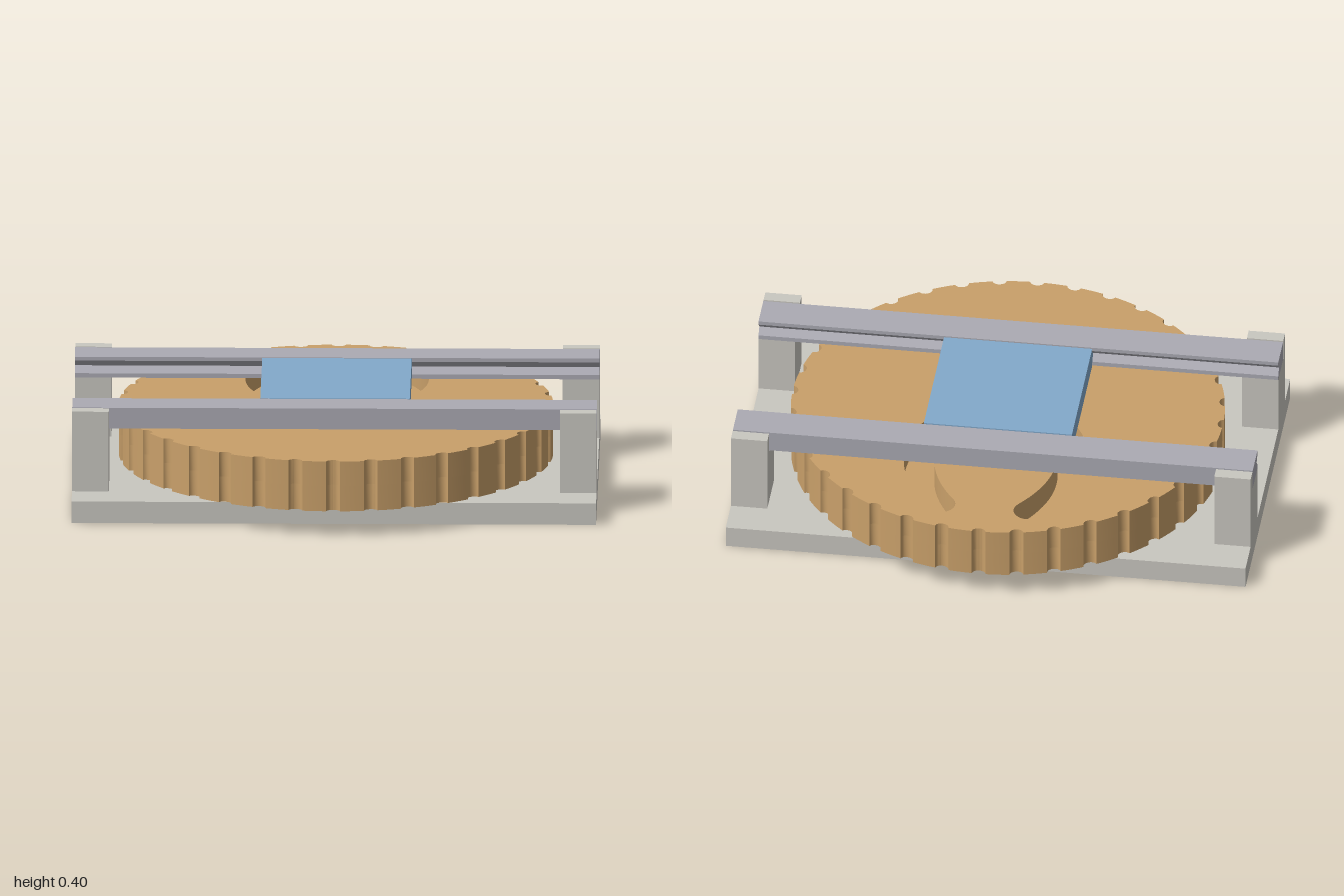
import * as THREE from 'three';
import { toCreasedNormals } from 'three/addons/utils/BufferGeometryUtils.js';

const mat = (name, color) => new THREE.MeshStandardMaterial({ name, color });

export function createModel() {
  const model = new THREE.Group();
  model.name = 'camSlideMechanism';
  const stone = mat('warmGrey', 0xc9c7c0);
  const wood = mat('tan', 0xc9a06a);
  const steel = mat('coolGrey', 0xabaab3);
  const blue = mat('blue', 0x82a9cb);

  const add = (name, geometry, material, x = 0, y = 0, z = 0) => {
    const mesh = new THREE.Mesh(geometry, material);
    mesh.name = name;
    mesh.position.set(x, y, z);
    model.add(mesh);
    return mesh;
  };
  const box = (name, material, x0, x1, y0, y1, z0, z1) =>
    add(name, new THREE.BoxGeometry(x1 - x0, y1 - y0, z1 - z0), material,
      (x0 + x1) / 2, (y0 + y1) / 2, (z0 + z1) / 2);
  // Extrudes a (z, y) cross-section along x, centred on x = 0
  const alongX = (points, length) => {
    const shape = new THREE.Shape(points.map(([z, y]) => new THREE.Vector2(-z, y)));
    const g = new THREE.ExtrudeGeometry(shape, { depth: length, bevelEnabled: false });
    return g.translate(0, 0, -length / 2).rotateY(Math.PI / 2);
  };

  // Base plate and hub
  box('basePlate', stone, -1, 1, 0, 0.085, -0.63, 0.63);
  add('hub', new THREE.CylinderGeometry(0.17, 0.17, 0.02, 48), stone, 0, 0.095, 0);

  // Posts with an outer lip, and the V-grooved rails they carry
  for (const s of [-1, 1]) {
    const side = s > 0 ? 'front' : 'back';
    const mirror = (pts) => pts.map(([z, y]) => [s * z, y]);
    const post = mirror([[0.295, 0.085], [0.485, 0.085], [0.485, 0.4],
      [0.435, 0.4], [0.435, 0.318], [0.295, 0.318]]);
    for (const x of [-0.93, 0.93])
      add(side + (x > 0 ? 'Left' : 'Right') + 'Post', alongX(post, 0.14), stone, x);
    const rail = mirror([[0.292, 0.318], [0.428, 0.318], [0.428, 0.4], [0.292, 0.4],
      [0.292, 0.385], [0.316, 0.36], [0.292, 0.335]]);
    add(side + 'Rail', alongX(rail, 2), steel);
  }

  // Slider with V edges, and its follower pin
  const slider = [[-0.285, 0.32], [0.285, 0.32], [0.285, 0.333], [0.31, 0.36],
    [0.285, 0.387], [0.285, 0.4], [-0.285, 0.4], [-0.285, 0.387], [-0.31, 0.36], [-0.285, 0.333]];
  add('slider', alongX(slider, 0.57), blue);
  add('followerPin', new THREE.CylinderGeometry(0.05, 0.05, 0.115, 32), blue, 0, 0.2625, 0);

  // Wheel outline: 36 shallow scallops cut into the rim
  const R = 0.828, notches = 36, half = 0.032;
  const step = Math.PI * 2 / notches;
  const rim = [];
  const polar = (a, r) => rim.push(new THREE.Vector2(r * Math.cos(a), r * Math.sin(a)));
  for (let i = 0; i < notches; i++) {
    for (let j = 0; j <= 8; j++) {
      const u = -Math.cos(Math.PI * j / 8);
      polar(i * step + u * half, R - 0.021 * Math.sqrt(Math.max(0, 1 - u * u)));
    }
    for (let j = 1; j < 5; j++) polar(i * step + half + (step - 2 * half) * j / 5, R);
  }

  // Cam groove outline: two mirrored spirals meeting at the centre, round ends
  const k = 0.52, T = 1.32, w = 0.058, N = 64;
  const path = (t) => new THREE.Vector2(k * t * Math.cos(t), k * t * Math.sin(t));
  const heading = (t) => Math.atan2(Math.sin(t) + t * Math.cos(t), Math.cos(t) - t * Math.sin(t));
  const groove = [];
  const offset = (t, a) => groove.push(path(t).add(new THREE.Vector2(w * Math.cos(a), w * Math.sin(a))));
  for (let i = 0; i <= N; i++) {
    const t = -T + 2 * T * i / N;
    offset(t, heading(t) - Math.PI / 2);
  }
  for (let j = 1; j < 12; j++) offset(T, heading(T) - Math.PI / 2 + Math.PI * j / 12);
  for (let i = N; i >= 0; i--) {
    const t = -T + 2 * T * i / N;
    offset(t, heading(t) + Math.PI / 2);
  }
  for (let j = 1; j < 12; j++) offset(-T, heading(-T) + Math.PI / 2 + Math.PI * j / 12);

  // Wheel: solid lower layer, grooved upper layer
  const layer = (name, y0, y1, hole) => {
    const shape = new THREE.Shape(rim);
    if (hole) shape.holes.push(new THREE.Path(hole));
    const g = new THREE.ExtrudeGeometry(shape, { depth: y1 - y0, bevelEnabled: false });
    add(name, toCreasedNormals(g.rotateX(-Math.PI / 2), 0.5), wood, 0, y0, 0);
  };
  layer('wheelLower', 0.105, 0.205);
  layer('wheelGrooved', 0.205, 0.302, groove);

  return model;
}
